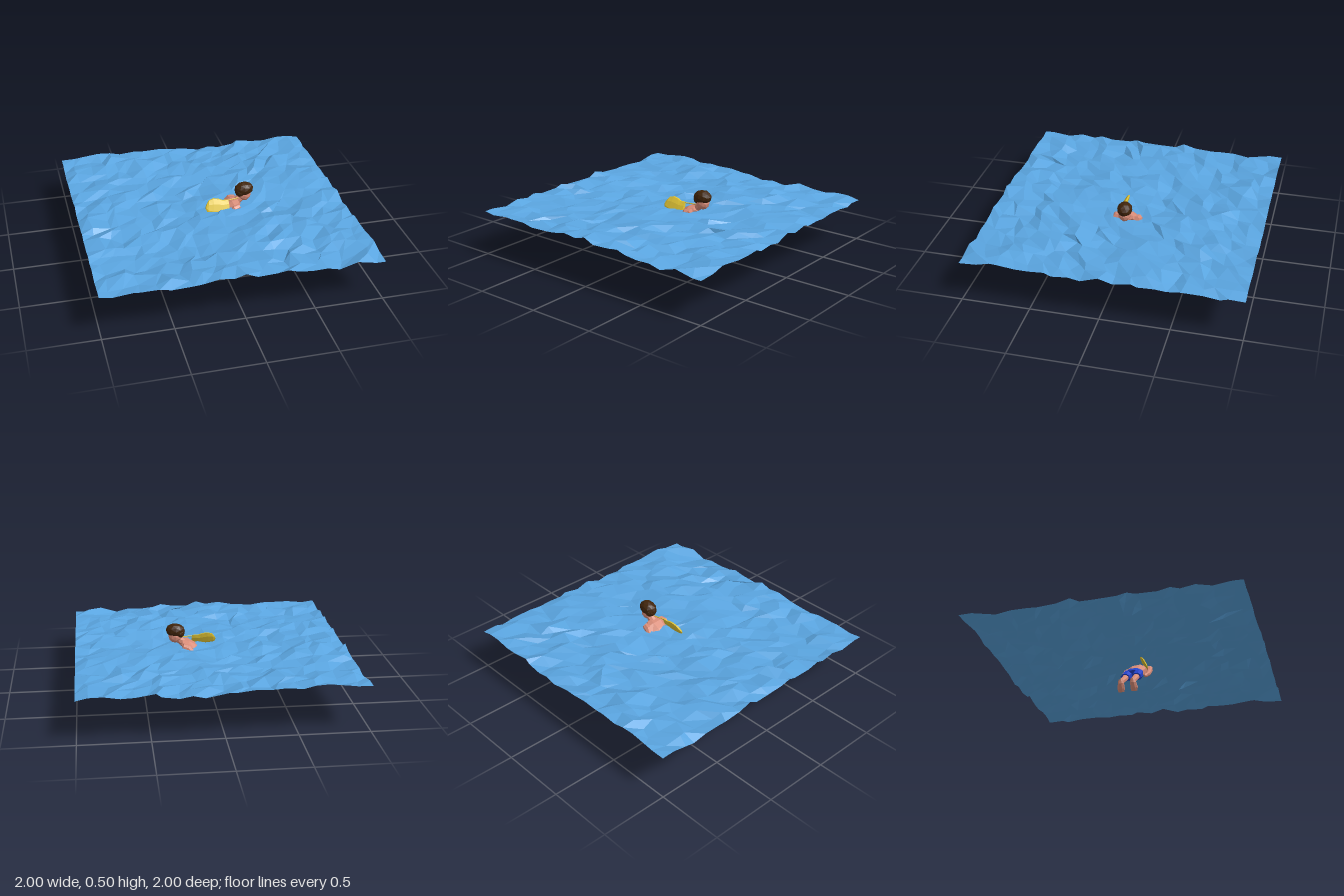
import * as THREE from 'three';

const mat = (name, color, extra = {}) => {
  const m = new THREE.MeshStandardMaterial({ color, flatShading: true, ...extra });
  m.name = name;
  return m;
};

// Seeded random numbers in 0..1
function seeded(a) {
  return () => {
    a = (a + 0x6d2b79f5) | 0;
    let t = Math.imul(a ^ (a >>> 15), 1 | a);
    t = (t + Math.imul(t ^ (t >>> 7), 61 | t)) ^ t;
    return ((t ^ (t >>> 14)) >>> 0) / 4294967296;
  };
}

// Closed loft through oval rings: [x, y, z, half thickness, half width in z]
function loft(rings, sides = 8) {
  const pos = [], idx = [], n = rings.length;
  rings.forEach(([x, y, z, a, b], i) => {
    const p = rings[Math.max(i - 1, 0)], q = rings[Math.min(i + 1, n - 1)];
    const len = Math.hypot(q[0] - p[0], q[1] - p[1]);
    const tx = (q[0] - p[0]) / len, ty = (q[1] - p[1]) / len;
    for (let j = 0; j < sides; j++) {
      const t = ((j + 0.5) / sides) * Math.PI * 2, c = Math.cos(t) * a;
      pos.push(x - ty * c, y + tx * c, z + Math.sin(t) * b);
    }
  });
  for (let i = 0; i < n - 1; i++) {
    for (let j = 0; j < sides; j++) {
      const k = (j + 1) % sides, r = i * sides, s = r + sides;
      idx.push(r + j, r + k, s + k, r + j, s + k, s + j);
    }
  }
  const end = (n - 1) * sides;
  for (let j = 1; j < sides - 1; j++) {
    idx.push(0, j + 1, j, end, end + j, end + j + 1);
  }
  const g = new THREE.BufferGeometry();
  g.setAttribute('position', new THREE.Float32BufferAttribute(pos, 3));
  g.setIndex(idx);
  g.computeVertexNormals();
  return g;
}

// Choppy low-poly sea with a slight dip around the swimmer
function waterGeometry() {
  const n = 20, rand = seeded(11), cell = 2 / n;
  const g = new THREE.PlaneGeometry(2, 2, n, n).rotateX(-Math.PI / 2);
  const p = g.attributes.position;
  for (let i = 0; i < p.count; i++) {
    const x = p.getX(i), z = p.getZ(i);
    const jx = (rand() - 0.5) * cell * 0.75, jz = (rand() - 0.5) * cell * 0.75;
    const swell = 0.009 * Math.sin(x * 5 + z * 2) + 0.008 * Math.sin(z * 7 - x * 3);
    const dip = 0.012 * Math.exp(-((x - 0.12) ** 2 + z * z) / 0.03);
    const y = 0.331 + swell - dip + (rand() - 0.5) * 0.046;
    p.setXYZ(i, Math.abs(x) > 0.999 ? x : x + jx, y, Math.abs(z) > 0.999 ? z : z + jz);
  }
  g.computeVertexNormals();
  return g;
}

export function createModel() {
  const model = new THREE.Group();
  const water = mat('water blue', 0x5aa5e0, { side: THREE.DoubleSide });
  const skin = mat('skin', 0xd88c78);
  const hair = mat('dark brown hair', 0x40240a);
  const blue = mat('shorts blue', 0x2443cc);
  const yellow = mat('float yellow', 0xe0c436);

  const add = (name, geometry, material, parent = model) => {
    const m = new THREE.Mesh(geometry, material);
    m.name = name;
    parent.add(m);
    return m;
  };

  add('waterSurface', waterGeometry(), water);

  const swimmer = new THREE.Group();
  swimmer.name = 'swimmer';
  model.add(swimmer);

  // Leaning torso and neck
  add('torso', loft([
    [0.015, 0.222, 0, 0.038, 0.068], [0.07, 0.26, 0, 0.042, 0.07],
    [0.13, 0.305, 0, 0.048, 0.082], [0.175, 0.336, 0, 0.042, 0.09],
    [0.21, 0.357, 0, 0.024, 0.055],
  ]), skin, swimmer);
  add('neck', loft([[0.18, 0.335, 0, 0.03, 0.032], [0.25, 0.4, 0, 0.028, 0.03]]), skin, swimmer);

  // Head with hair covering the crown, sides and nape
  const ball = new THREE.IcosahedronGeometry(1, 1);
  const ellipsoid = (name, material, position, scale, tilt) => {
    const m = add(name, ball, material, swimmer);
    m.position.set(...position);
    m.scale.set(...scale);
    m.rotation.z = tilt;
  };
  ellipsoid('head', skin, [0.254, 0.405, 0], [0.053, 0.054, 0.046], 0);
  ellipsoid('hair', hair, [0.253, 0.447, 0], [0.073, 0.053, 0.056], 0.12);
  ellipsoid('napeHair', hair, [0.222, 0.428, 0], [0.038, 0.04, 0.049], 0);

  // Shorts waist
  add('shortsWaist', loft([
    [-0.02, 0.198, 0, 0.044, 0.077], [0.012, 0.225, 0, 0.044, 0.077],
    [0.036, 0.242, 0, 0.041, 0.071],
  ]), blue, swimmer);

  for (const s of [1, -1]) {
    const side = s > 0 ? 'left' : 'right';
    add(side + 'ShortsLeg', loft([
      [-0.08, 0.157, s * 0.043, 0.03, 0.035], [-0.005, 0.21, s * 0.04, 0.042, 0.038],
    ]), blue, swimmer);
    add(side + 'Leg', loft([
      [-0.04, 0.185, s * 0.041, 0.027, 0.028], [-0.095, 0.143, s * 0.042, 0.022, 0.025],
      [-0.14, 0.11, s * 0.043, 0.022, 0.024], [-0.188, 0.074, s * 0.045, 0.018, 0.019],
    ]), skin, swimmer);
    add(side + 'Foot', loft([
      [-0.198, 0.092, s * 0.045, 0.014, 0.017], [-0.188, 0.065, s * 0.046, 0.024, 0.023],
      [-0.168, 0.03, s * 0.049, 0.021, 0.028], [-0.158, 0.006, s * 0.049, 0.012, 0.024],
    ]), skin, swimmer);
    add(side + 'Arm', loft([
      [0.205, 0.342, s * 0.074, 0.022, 0.024], [0.172, 0.328, s * 0.085, 0.035, 0.026],
      [0.125, 0.285, s * 0.095, 0.023, 0.019], [0.085, 0.25, s * 0.097, 0.02, 0.016],
      [0.05, 0.225, s * 0.094, 0.013, 0.012],
    ]), skin, swimmer);
    add(side + 'Hand', loft([
      [0.058, 0.23, s * 0.094, 0.013, 0.012], [0.035, 0.215, s * 0.09, 0.018, 0.012],
      [0.015, 0.2, s * 0.085, 0.009, 0.008],
    ]), skin, swimmer);
  }

  // Thin float leaning outwards towards the water
  const float = loft([
    [-0.05, 0.365, 0.057, 0.016, 0.008], [-0.035, 0.358, 0.057, 0.046, 0.014],
    [0.005, 0.354, 0.057, 0.061, 0.017], [0.045, 0.35, 0.057, 0.058, 0.017],
    [0.08, 0.348, 0.057, 0.047, 0.016], [0.125, 0.35, 0.057, 0.045, 0.012],
  ]);
  const p = float.attributes.position;
  for (let i = 0; i < p.count; i++) {
    p.setZ(i, p.getZ(i) + (0.355 - p.getY(i)) * 0.5);
  }
  float.computeVertexNormals();
  add('float', float, yellow);

  // Tether from the float to the shoulder
  const tether = new THREE.LineCurve3(
    new THREE.Vector3(0.115, 0.386, 0.04), new THREE.Vector3(0.205, 0.386, 0.02));
  add('tether', new THREE.TubeGeometry(tether, 1, 0.004, 5), yellow);

  return model;
}
